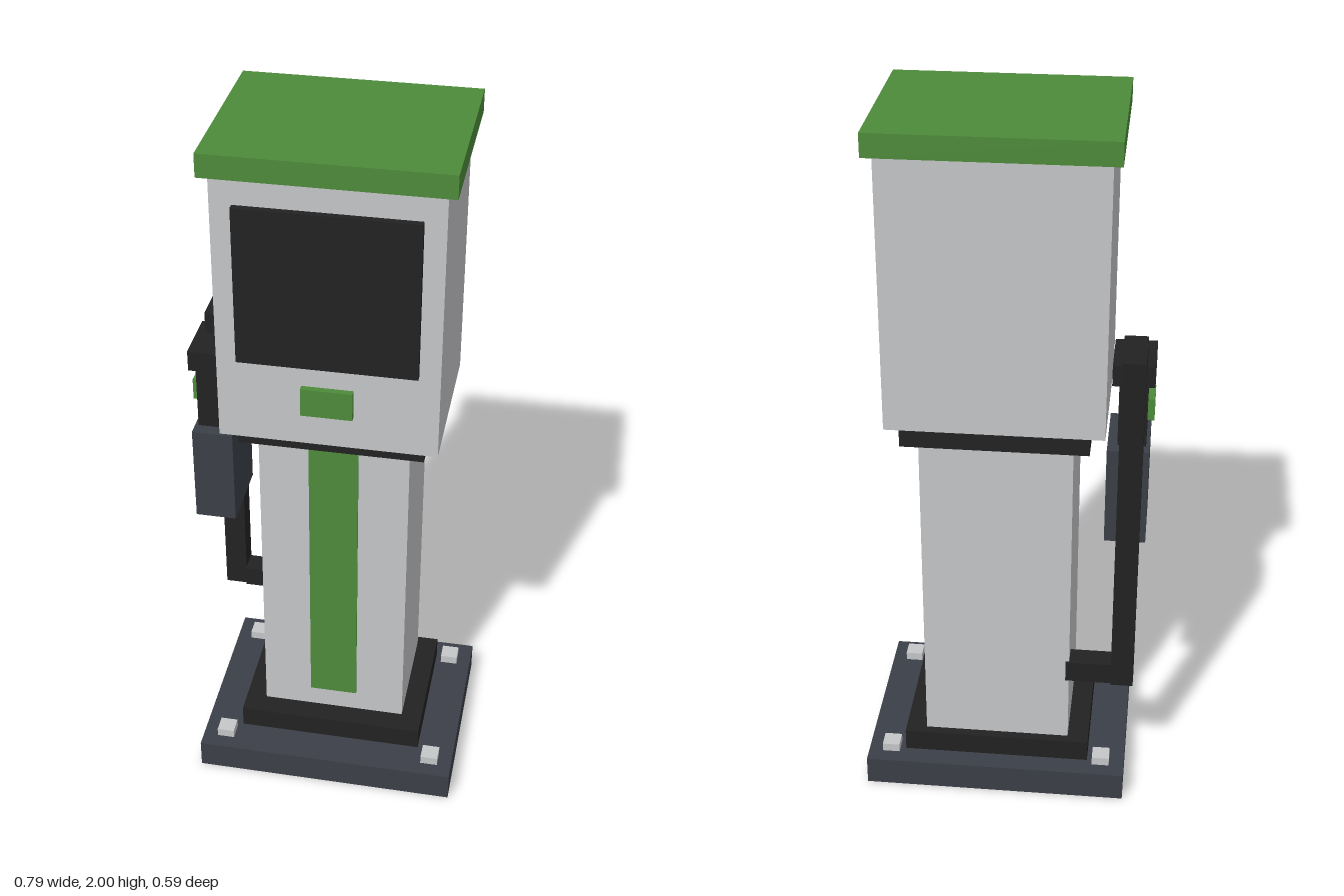
import * as THREE from 'three';

const makeMaterial = (name, color) => {
  const m = new THREE.MeshStandardMaterial({ color });
  m.name = name;
  return m;
};

export function createModel() {
  const panel = makeMaterial('light grey panel', 0xc5c6c8);
  const slate = makeMaterial('slate', 0x3b3f47);
  const black = makeMaterial('black', 0x222222);
  const green = makeMaterial('green', 0x4d8b3a);

  const model = new THREE.Group();
  model.name = 'chargingStation';

  // Adds a box given by its extents along each axis
  const box = (parent, name, material, [x0, x1], [y0, y1], [z0, z1]) => {
    const mesh = new THREE.Mesh(new THREE.BoxGeometry(x1 - x0, y1 - y0, z1 - z0), material);
    mesh.position.set((x0 + x1) / 2, (y0 + y1) / 2, (z0 + z1) / 2);
    mesh.name = name;
    parent.add(mesh);
  };

  // Pedestal
  box(model, 'basePlate', slate, [-0.358, 0.396], [0, 0.085], [-0.294, 0.292]);
  box(model, 'lowerCollar', black, [-0.25, 0.288], [0.085, 0.15], [-0.233, 0.187]);
  box(model, 'column', panel, [-0.19, 0.228], [0.15, 1.127], [-0.207, 0.123]);
  box(model, 'columnStripe', green, [-0.05, 0.088], [0.217, 1.127], [0.12, 0.129]);

  // Anchor bolts at the four corners of the base
  for (const x of [-0.29, 0.33]) {
    for (const z of [-0.226, 0.224]) {
      box(model, 'anchorBolt', panel, [x - 0.025, x + 0.025], [0.085, 0.11], [z - 0.025, z + 0.025]);
    }
  }

  // Head with screen, button and cap
  box(model, 'upperCollar', black, [-0.235, 0.272], [1.127, 1.177], [-0.25, 0.17]);
  box(model, 'head', panel, [-0.275, 0.313], [1.177, 1.937], [-0.252, 0.21]);
  box(model, 'cap', green, [-0.299, 0.338], [1.937, 2], [-0.277, 0.235]);
  box(model, 'screen', black, [-0.218, 0.257], [1.42, 1.86], [0.21, 0.228]);
  box(model, 'startButton', green, [-0.05, 0.088], [1.275, 1.356], [0.21, 0.228]);

  // Plug resting in its holster
  const plug = new THREE.Group();
  plug.name = 'plug';
  model.add(plug);
  box(plug, 'holster', slate, [-0.39, -0.275], [0.793, 1.08], [-0.135, 0.082]);
  box(plug, 'plugHandle', black, [-0.38, -0.302], [1.08, 1.265], [-0.1, 0.045]);
  box(plug, 'plugTop', black, [-0.398, -0.283], [1.265, 1.325], [-0.11, 0.055]);
  box(plug, 'plugRelease', green, [-0.399, -0.38], [1.147, 1.21], [-0.072, 0.015]);

  // Squared cable from the column up to the plug
  const cable = new THREE.Group();
  cable.name = 'cable';
  model.add(cable);
  box(cable, 'cableOutlet', black, [-0.31, -0.18], [0.357, 0.421], [-0.212, -0.147]);
  box(cable, 'cableRiser', black, [-0.374, -0.31], [0.357, 1.388], [-0.219, -0.154]);
  box(cable, 'cableTop', black, [-0.374, -0.31], [1.324, 1.388], [-0.154, -0.051]);

  return model;
}
